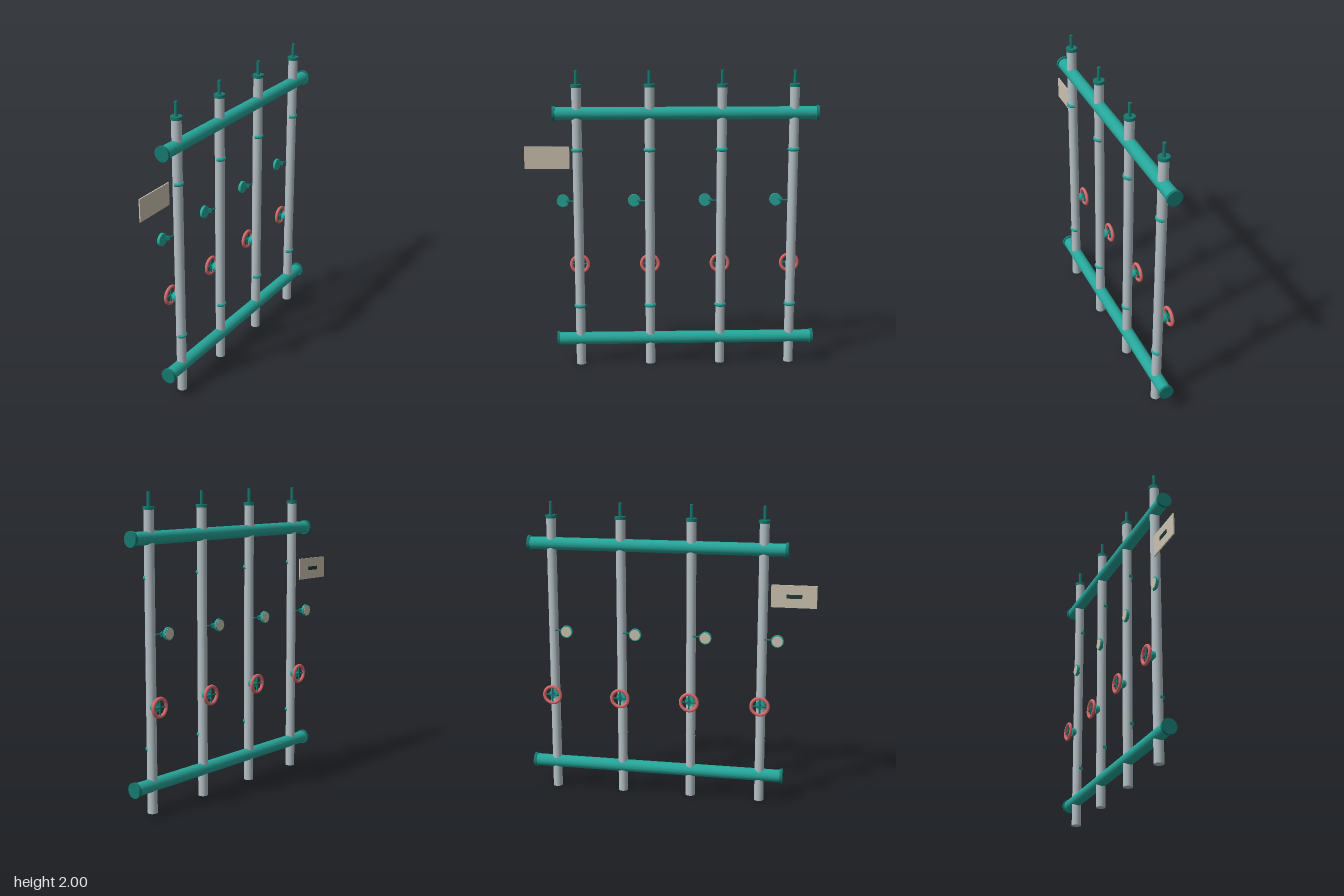
import * as THREE from 'three';

const mat = (name, color, side = THREE.FrontSide) => {
  const m = new THREE.MeshStandardMaterial({ color, side });
  m.name = name;
  return m;
};

export function createModel() {
  const steel = mat('grey steel', 0xb4c0c5);
  const teal = mat('teal paint', 0x26a69a);
  const darkTeal = mat('dark teal paint', 0x16786f);
  const red = mat('red paint', 0xd9696a);
  const cream = mat('cream plate', 0xcbc1ae);
  const dark = mat('dark marking', 0x22383a);

  const root = new THREE.Group();
  root.name = 'pipeManifold';
  const AX = 0.013; // x of the pipe plane

  const add = (parent, name, geometry, material, x, y, z) => {
    const mesh = new THREE.Mesh(geometry, material);
    mesh.name = name;
    mesh.position.set(x, y, z);
    parent.add(mesh);
    return mesh;
  };
  // Cylinder along the chosen axis, centred on its origin
  const rod = (r, length, axis = 'y', sides = 24) => {
    const g = new THREE.CylinderGeometry(r, r, length, sides);
    if (axis === 'x') g.rotateZ(Math.PI / 2);
    if (axis === 'z') g.rotateX(Math.PI / 2);
    return g;
  };

  // Upper and lower header pipes with end flanges
  for (const y of [0.18, 1.72]) {
    add(root, 'headerPipe', rod(0.042, 1.72, 'z', 32), teal, AX, y, -0.095);
    for (const z of [0.77, -0.957])
      add(root, 'headerFlange', rod(0.05, 0.018, 'z', 32), darkTeal, AX, y, z);
  }

  // Half ring around the +x side of a riser
  const clampGeo = new THREE.TorusGeometry(0.027, 0.0135, 12, 24, Math.PI);
  clampGeo.rotateX(Math.PI / 2).rotateY(Math.PI / 2);

  const makeRiser = (z) => {
    const riser = new THREE.Group();
    riser.name = 'riser';
    riser.position.set(AX, 0, z);
    root.add(riser);

    // Pipe, top flange and vent stem
    add(riser, 'riserPipe', rod(0.032, 1.9), steel, 0, 0.95, 0);
    add(riser, 'topFlange', rod(0.037, 0.02), darkTeal, 0, 1.9, 0);
    add(riser, 'ventStem', rod(0.011, 0.1, 'y', 16), darkTeal, 0, 1.95, 0);
    for (const y of [0.415, 1.48]) add(riser, 'clamp', clampGeo, teal, 0, y, 0);

    // Pressure gauge on a bent side tube
    const gauge = new THREE.Group();
    gauge.name = 'gauge';
    gauge.position.y = 1.13;
    riser.add(gauge);
    const path = new THREE.CatmullRomCurve3([
      new THREE.Vector3(-0.022, 0, 0.015),
      new THREE.Vector3(-0.028, 0, 0.045),
      new THREE.Vector3(-0.034, 0, 0.068),
      new THREE.Vector3(-0.05, 0, 0.085),
    ]);
    add(gauge, 'gaugeTube', new THREE.TubeGeometry(path, 12, 0.006, 8), darkTeal, 0, 0, 0);
    add(gauge, 'gaugeFitting', rod(0.016, 0.012, 'z', 12), darkTeal, -0.034, 0, 0.068);
    add(gauge, 'gaugeBody', rod(0.041, 0.018, 'x', 32), teal, -0.053, 0, 0.105);
    add(gauge, 'gaugeFace', rod(0.035, 0.003, 'x', 32), cream, -0.063, 0, 0.105);

    // Valve with handwheel
    const valve = new THREE.Group();
    valve.name = 'valve';
    valve.position.y = 0.685;
    riser.add(valve);
    add(valve, 'valveBonnet', rod(0.031, 0.028, 'x'), teal, -0.034, 0, 0);
    add(valve, 'valveStem', rod(0.009, 0.05, 'x', 12), darkTeal, -0.055, 0, 0);
    const rim = new THREE.TorusGeometry(0.057, 0.0115, 10, 36).rotateY(Math.PI / 2);
    add(valve, 'handwheelRim', rim, red, -0.073, 0, 0);
    for (const axis of ['y', 'z'])
      add(valve, 'handwheelSpoke', rod(0.006, 0.11, axis, 8), darkTeal, -0.073, 0, 0);
  };
  for (const z of [0.62, 0.145, -0.33, -0.805]) makeRiser(z);

  // Sign plate with a plain dark marking bar on its -x face
  add(root, 'signPlate', new THREE.BoxGeometry(0.008, 0.148, 0.297), cream, -0.017, 1.425, 0.8225);
  add(root, 'signMarking', new THREE.BoxGeometry(0.006, 0.025, 0.1), dark, -0.023, 1.425, 0.825);

  return root;
}
